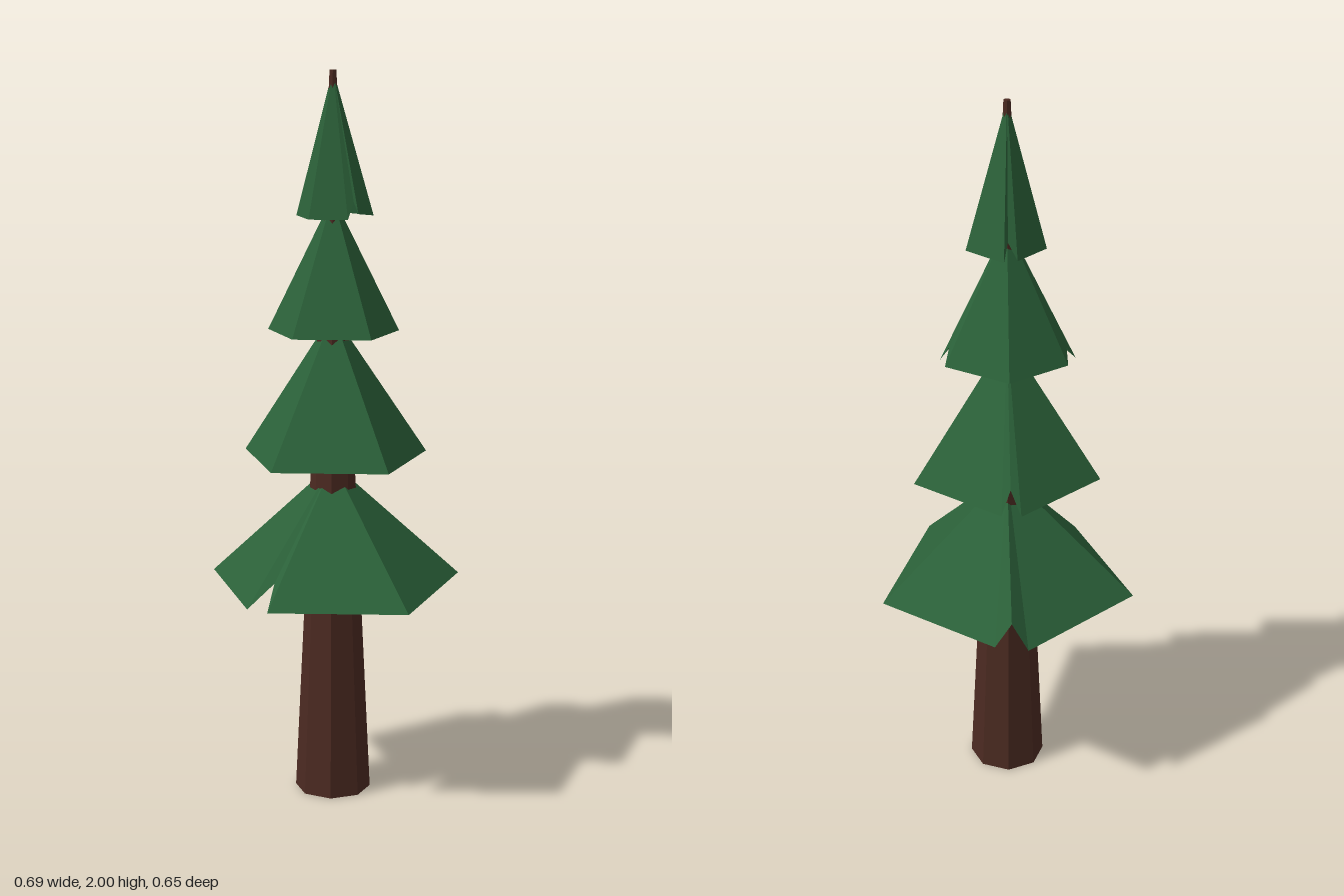
import * as THREE from 'three';

const AXIS = { x: -0.01, z: -0.017 };

// Open five-sided skirt: a fan from the apex down to a rim of [x, z, y] corners.
// Raised points between two close corners are the splits along a ridge.
function makeTier(name, apexY, rimY, rim, material) {
  const positions = [];
  rim.forEach(([x, z, y = rimY], i) => {
    const [nx, nz, ny = rimY] = rim[(i + 1) % rim.length];
    positions.push(AXIS.x, apexY, AXIS.z, nx, ny, nz, x, y, z);
  });
  const geometry = new THREE.BufferGeometry();
  geometry.setAttribute('position', new THREE.Float32BufferAttribute(positions, 3));
  geometry.computeVertexNormals();
  const mesh = new THREE.Mesh(geometry, material);
  mesh.name = name;
  return mesh;
}

export function createModel() {
  const tree = new THREE.Group();
  tree.name = 'pineTree';

  const bark = new THREE.MeshStandardMaterial({ color: 0x4b2a21, flatShading: true });
  const needles = new THREE.MeshStandardMaterial({
    color: 0x2b6139, flatShading: true, side: THREE.DoubleSide,
  });

  // Eight-sided trunk tapering to the tip
  const trunk = new THREE.Mesh(new THREE.CylinderGeometry(0.009, 0.105, 2, 8), bark);
  trunk.name = 'trunk';
  trunk.position.set(AXIS.x, 1, AXIS.z);
  trunk.rotation.y = -0.096;
  tree.add(trunk);

  // Foliage tiers from bottom to top
  const tiers = [
    ['bottomFoliage', 0.94, 0.6, [
      [0.185, -0.328], [0.343, 0.07],
      [0.06, 0.313], [0.025, 0.25, 0.66], [-0.003, 0.325],
      [-0.345, 0.12],
      [-0.25, -0.24, 0.575], [-0.205, -0.255, 0.65], [-0.19, -0.31],
    ]],
    ['lowerFoliage', 1.355, 0.96, [
      [0.133, -0.243], [0.248, 0.045], [0.01, 0.245], [-0.252, 0.08],
      [-0.2, -0.207], [-0.157, -0.197, 1.02], [-0.157, -0.237],
    ]],
    ['upperFoliage', 1.67, 1.305, [
      [0.07, -0.18], [0.075, -0.155, 1.35], [0.107, -0.155],
      [0.167, 0.025], [0.005, 0.157],
      [-0.17, 0.07], [-0.16, 0.043, 1.34], [-0.182, 0.02],
      [-0.123, -0.157],
    ]],
    ['topFoliage', 2, 1.615, [
      [0.05, -0.113],
      [0.1, 0.003, 1.63], [0.085, 0.005, 1.66], [0.085, 0.028],
      [0, 0.088], [-0.108, 0.022],
      [-0.097, -0.088], [-0.07, -0.093, 1.66], [-0.078, -0.12],
    ]],
  ];
  for (const [name, apexY, rimY, rim] of tiers) {
    tree.add(makeTier(name, apexY, rimY, rim, needles));
  }
  return tree;
}
